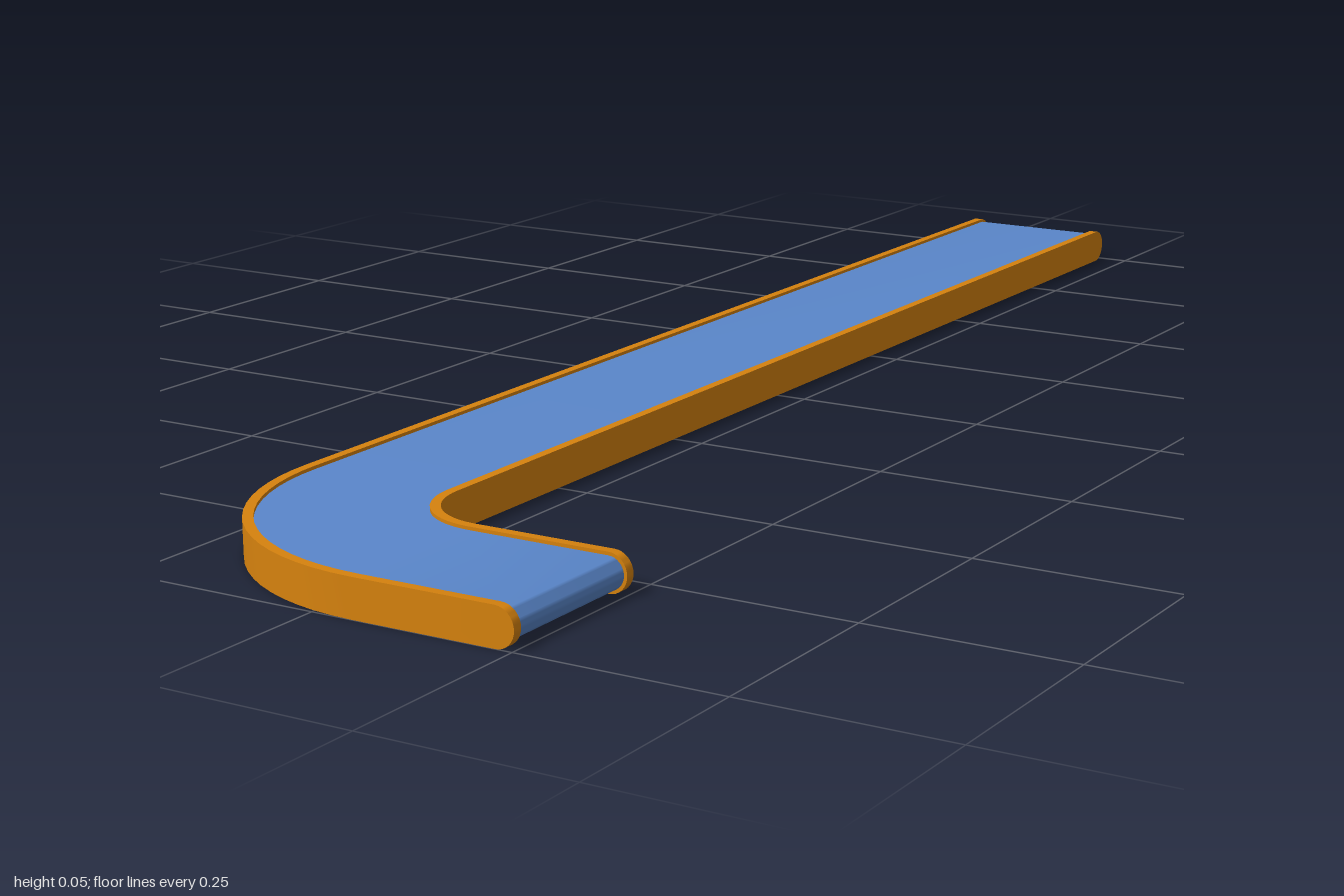
import * as THREE from 'three';
import { toCreasedNormals } from 'three/addons/utils/BufferGeometryUtils.js';

const BEND = { x: 0.052, z: 0.695, radius: 0.1985 }; // centre line of the bend
const HALF_WIDTH = 0.1065;
const RAIL = 0.012;
const HEIGHT = 0.046;
const INSET = 0.004; // belt sits this far inside the rail outline

// Stations along the L-shaped path: centre, travel angle and half height.
// Both ends are rounded like a belt going round a roller of radius r.
function stations(inset) {
  const r = HEIGHT / 2 - inset, capSteps = 8, arcSteps = 18;
  const list = [];
  const startX = BEND.x - BEND.radius, endZ = BEND.z + BEND.radius;
  const zStart = -1 + inset + r, xEnd = 0.253 - inset - r;
  for (let i = 0; i <= capSteps; i++) {
    const a = (i / capSteps) * Math.PI / 2;
    list.push({ x: startX, z: zStart - r * Math.cos(a), turn: 0, h: r * Math.sin(a) });
  }
  for (let i = 0; i <= arcSteps; i++) {
    const turn = (i / arcSteps) * Math.PI / 2;
    list.push({
      x: BEND.x - BEND.radius * Math.cos(turn),
      z: BEND.z + BEND.radius * Math.sin(turn), turn, h: r,
    });
  }
  for (let i = capSteps; i >= 0; i--) {
    const a = (i / capSteps) * Math.PI / 2;
    list.push({ x: xEnd + r * Math.cos(a), z: endZ, turn: Math.PI / 2, h: r * Math.sin(a) });
  }
  return list;
}

// Sweeps a rectangle lying between two sideways offsets along the path.
function sweep(inner, outer, inset) {
  const positions = [], index = [];
  const path = stations(inset);
  path.forEach(({ x, z, turn, h }, i) => {
    const ox = -Math.cos(turn), oz = Math.sin(turn);
    for (const [o, s] of [[outer, 1], [outer, -1], [inner, -1], [inner, 1]]) {
      positions.push(x + ox * o, HEIGHT / 2 + s * h, z + oz * o);
    }
    if (i === path.length - 1) return;
    for (let k = 0; k < 4; k++) {
      const a = i * 4 + k, b = i * 4 + (k + 1) % 4;
      index.push(a, b, b + 4, a, b + 4, a + 4);
    }
  });
  const geometry = new THREE.BufferGeometry();
  geometry.setAttribute('position', new THREE.Float32BufferAttribute(positions, 3));
  geometry.setIndex(index);
  return toCreasedNormals(geometry, Math.PI / 5);
}

export function createModel() {
  const model = new THREE.Group();
  model.name = 'conveyor';
  const orange = new THREE.MeshStandardMaterial({ color: 0xd6820e });
  orange.name = 'orange';
  const blue = new THREE.MeshStandardMaterial({ color: 0x5a87cb });
  blue.name = 'blue';

  const add = (name, geometry, material) => {
    const mesh = new THREE.Mesh(geometry, material);
    mesh.name = name;
    model.add(mesh);
  };
  const edge = HALF_WIDTH - RAIL;
  add('belt', sweep(-edge, edge, INSET), blue);
  add('outerRail', sweep(edge, HALF_WIDTH, 0), orange);
  add('innerRail', sweep(-HALF_WIDTH, -edge, 0), orange);
  return model;
}
